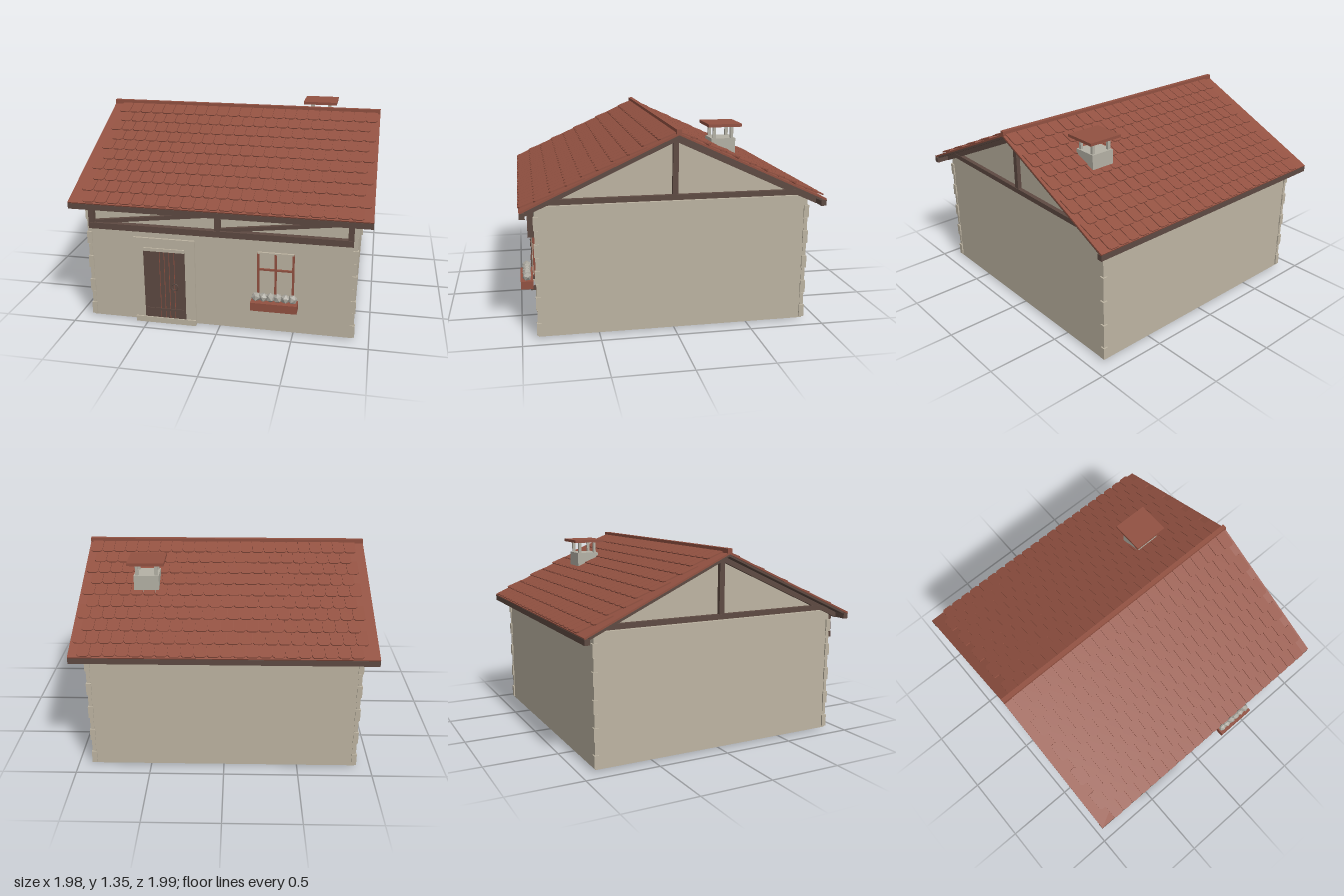
import * as THREE from 'three';
import { mergeGeometries } from 'three/addons/utils/BufferGeometryUtils.js';

const material = (name, color) => {
  const m = new THREE.MeshStandardMaterial({ color });
  m.name = name;
  return m;
};

export function createModel() {
  const plaster = material('plaster', 0xbdb4a2);
  const tileRed = material('roof tile red', 0x925141);
  const wood = material('dark wood', 0x5e4a42);
  const stone = material('pale stone', 0xb4b1a5);
  const bloom = material('grey blossom', 0xaaa79e);
  bloom.flatShading = true;

  const house = new THREE.Group();
  house.name = 'cottage';

  const add = (parent, name, geometry, mat, x = 0, y = 0, z = 0) => {
    const mesh = new THREE.Mesh(geometry, mat);
    mesh.name = name;
    mesh.position.set(x, y, z);
    parent.add(mesh);
    return mesh;
  };
  const box = (parent, name, mat, w, h, d, x, y, z) =>
    add(parent, name, new THREE.BoxGeometry(w, h, d), mat, x, y, z);

  // Walls, plinth and gable block
  box(house, 'plinth', plaster, 1.66, 0.02, 1.66, 0, 0.012, 0);
  box(house, 'walls', plaster, 1.79, 0.865, 1.79, 0, 0.4425, 0);
  const gableShape = new THREE.Shape([
    new THREE.Vector2(-0.88, 0.86), new THREE.Vector2(0.88, 0.86), new THREE.Vector2(0, 1.285),
  ]);
  const gable = new THREE.ExtrudeGeometry(gableShape, { depth: 1.75, bevelEnabled: false });
  gable.translate(0, 0, -0.875).rotateY(Math.PI / 2);
  add(house, 'gables', gable, plaster);

  // Alternating corner stones
  for (const sx of [-1, 1]) for (const sz of [-1, 1]) {
    for (let i = 0; i < 9; i++) {
      const long = i % 2 === 0;
      const reach = long ? 0.905 : 0.899;
      const w = long ? 0.034 : 0.024;
      box(house, 'cornerStone', plaster, w, 0.084, w,
        sx * (reach - w / 2), 0.062 + i * 0.088, sz * (reach - w / 2));
    }
  }

  // Timber on the gable ends
  for (const s of [-1, 1]) {
    box(house, 'gableTieBeam', wood, 0.03, 0.034, 1.75, s * 0.89, 0.9, 0);
    box(house, 'gableKingPost', wood, 0.03, 0.39, 0.036, s * 0.887, 1.105, 0);
  }

  // Front truss
  box(house, 'trussBottomBeam', wood, 1.745, 0.042, 0.04, 0, 0.695, 0.92);
  for (const x of [-0.855, 0, 0.855]) box(house, 'trussPost', wood, 0.036, 0.15, 0.036, x, 0.785, 0.918);
  for (const x of [-0.428, 0.428]) {
    const brace = box(house, 'trussBrace', wood, 0.82, 0.026, 0.024, x, 0.767, 0.912);
    brace.rotation.z = Math.atan2(0.1, 0.81);
  }

  // Overlapping tile with clipped lower corners
  const tileShape = new THREE.Shape();
  [[-0.039, 0], [-0.039, -0.118], [-0.026, -0.132], [0.026, -0.132], [0.039, -0.118], [0.039, 0]]
    .forEach(([x, y], i) => (i ? tileShape.lineTo(x, y) : tileShape.moveTo(x, y)));
  const tile = new THREE.ExtrudeGeometry(tileShape, { depth: 0.008, bevelEnabled: false });
  tile.rotateX(-Math.PI / 2).rotateX(-0.07);

  // Both roof slopes, local z runs down from the ridge
  const pitch = Math.atan(0.462);
  const rows = 10, rowStep = 0.1065, columnStep = 0.0825;
  for (const side of [1, -1]) {
    const turn = new THREE.Group();
    turn.name = side > 0 ? 'frontRoof' : 'backRoof';
    turn.rotation.y = side > 0 ? 0 : Math.PI;
    const slope = new THREE.Group();
    slope.name = 'slope';
    slope.position.y = 1.325;
    slope.rotation.x = pitch;
    turn.add(slope);
    house.add(turn);

    box(slope, 'roofSheet', tileRed, 1.975, 0.012, 1.09, 0, -0.006, 0.545);
    box(slope, 'roofBoards', wood, 1.96, 0.014, 1.06, 0, -0.019, 0.53);

    const tiles = [];
    for (let r = 0; r < rows; r++) {
      const start = -0.885 + (r % 2) * columnStep / 2;
      for (let c = 0; c < 23; c++) {
        const x = start + c * columnStep;
        if (x > 0.952) continue;
        tiles.push(tile.clone().translate(side * x, 0, r * rowStep));
      }
    }
    add(slope, 'roofTiles', mergeGeometries(tiles), tileRed);

    for (let i = -4; i <= 4; i++) {
      const end = Math.abs(i) === 4;
      box(slope, 'rafter', wood, 0.034, 0.036, 1.075, end ? Math.sign(i) * 0.885 : i * 0.217, -0.042, 0.54);
    }
    box(turn, 'eaveBeam', wood, 1.975, 0.038, 0.036, 0, 0.841, 0.97);
  }
  box(house, 'ridgeCap', tileRed, 1.975, 0.034, 0.032, 0, 1.331, 0);

  // Chimney
  const chimney = new THREE.Group();
  chimney.name = 'chimney';
  chimney.position.set(0.535, 0, -0.388);
  house.add(chimney);
  box(chimney, 'chimneyStack', stone, 0.17, 0.16, 0.165, 0, 1.145, 0);
  for (const x of [-0.065, 0.065]) for (const z of [-0.06, 0.06]) {
    box(chimney, 'chimneyPost', stone, 0.02, 0.09, 0.02, x, 1.265, z);
  }
  box(chimney, 'chimneyCap', tileRed, 0.25, 0.02, 0.23, 0, 1.316, 0);

  // Door with surround, lintel and step
  const door = new THREE.Group();
  door.name = 'door';
  door.position.x = -0.37;
  house.add(door);
  box(door, 'doorSurround', plaster, 0.42, 0.58, 0.02, 0, 0.33, 0.9);
  box(door, 'doorStep', plaster, 0.42, 0.04, 0.07, 0, 0.02, 0.885);
  box(door, 'doorLintel', plaster, 0.285, 0.022, 0.02, 0, 0.542, 0.91);
  box(door, 'doorLeaf', wood, 0.284, 0.49, 0.01, 0, 0.287, 0.91);
  for (const x of [-0.03, 0.002, 0.035, 0.07]) {
    box(door, 'doorGroove', tileRed, 0.004, 0.485, 0.003, x, 0.287, 0.915);
  }
  box(door, 'doorRail', wood, 0.26, 0.016, 0.008, 0, 0.105, 0.917);
  add(door, 'doorRing', new THREE.TorusGeometry(0.023, 0.004, 6, 20), wood, 0.07, 0.28, 0.919);

  // Window frame
  const win = new THREE.Group();
  win.name = 'window';
  win.position.x = 0.38;
  house.add(win);
  for (const x of [-0.115, 0, 0.115]) box(win, 'windowUpright', tileRed, 0.014, 0.29, 0.016, x, 0.43, 0.9);
  box(win, 'windowCrossBar', tileRed, 0.235, 0.012, 0.016, 0, 0.457, 0.9);
  box(win, 'windowLintel', plaster, 0.24, 0.01, 0.02, 0, 0.574, 0.9);

  // Flower box
  box(win, 'flowerBox', tileRed, 0.305, 0.056, 0.085, 0, 0.23, 0.956);
  for (const x of [-0.11, 0.11]) box(win, 'flowerBoxBracket', wood, 0.016, 0.03, 0.04, x, 0.195, 0.91);
  for (let i = 0; i < 6; i++) {
    const flower = add(win, 'flower', new THREE.IcosahedronGeometry(0.033, 0), bloom, -0.12 + i * 0.048, 0.285, 0.955);
    flower.rotation.set(i * 0.7, i * 1.1, 0);
  }
  return house;
}
